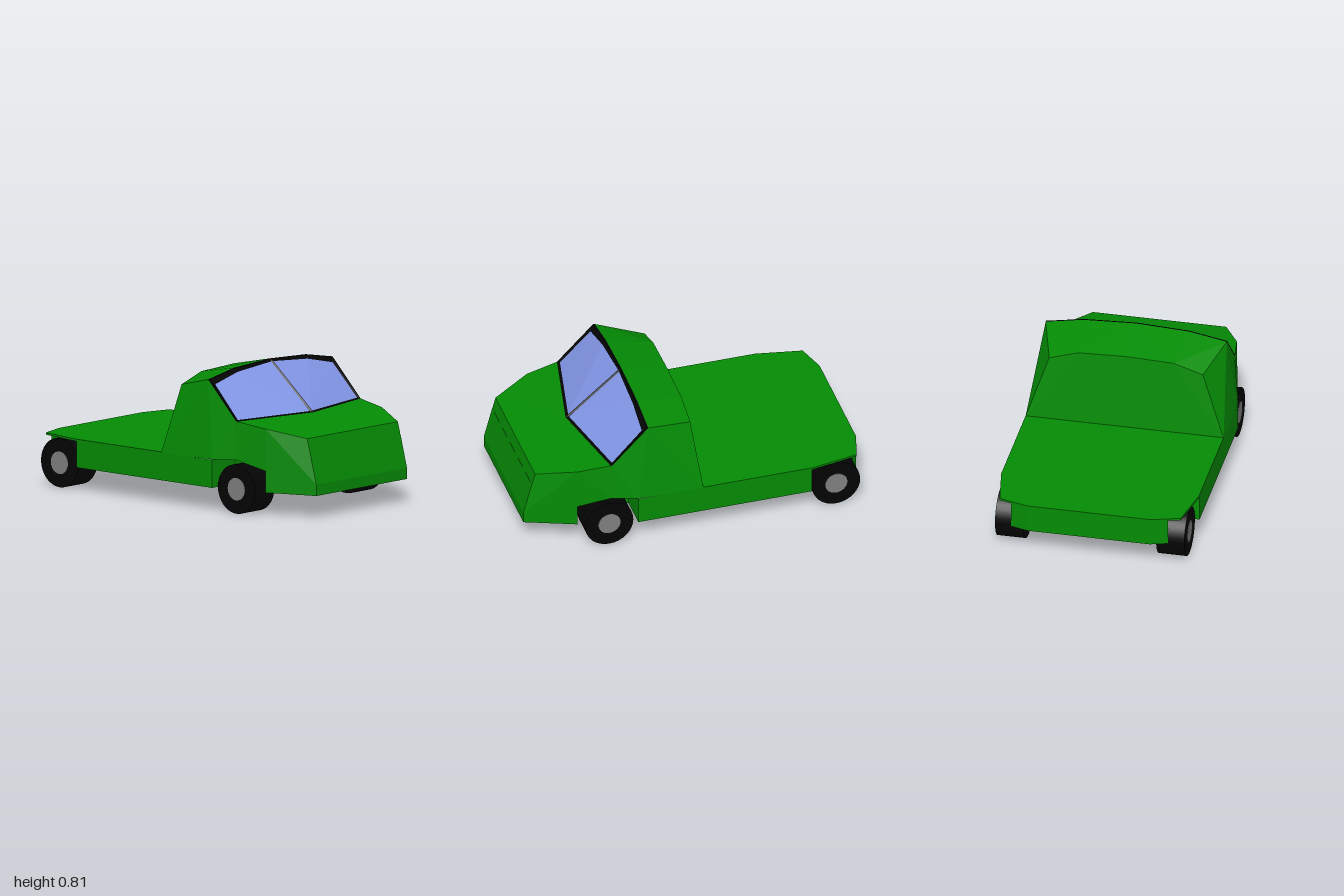
import * as THREE from 'three';
import { ConvexGeometry } from 'three/addons/geometries/ConvexGeometry.js';

export function createModel() {
  const model = new THREE.Group();
  model.name = 'flatbedTruck';

  const material = (name, color) => {
    const m = new THREE.MeshStandardMaterial({ color });
    m.name = name;
    m.side = THREE.DoubleSide;
    return m;
  };
  const green = material('greenPaint', 0x048c04);
  const black = material('blackRubber', 0x040404);
  const grey = material('greyMetal', 0x808080);
  const glass = material('blueGlass', 0x8296e6);

  const add = (name, geometry, mat, parent = model) => {
    const mesh = new THREE.Mesh(geometry, mat);
    mesh.name = name;
    parent.add(mesh);
    return mesh;
  };

  // Slab from half of a plan outline [x, z], mirrored across z = 0
  const slab = (name, half, bottom, top) => {
    const mirrored = half.map(([x, z]) => [x, -z]).reverse();
    const shape = new THREE.Shape([...half, ...mirrored].map(([x, z]) => new THREE.Vector2(x, z)));
    const geometry = new THREE.ExtrudeGeometry(shape, { depth: top - bottom, bevelEnabled: false });
    geometry.rotateX(Math.PI / 2);
    add(name, geometry, green).position.y = top;
  };

  // Flat-shaded sheet from points and triangle corners
  const faceted = (points, index) => {
    const geometry = new THREE.BufferGeometry();
    geometry.setAttribute('position', new THREE.Float32BufferAttribute(points.flat(), 3));
    geometry.setIndex(index);
    const flat = geometry.toNonIndexed();
    flat.computeVertexNormals();
    return flat;
  };

  // Faceted shell from the points of one side, left open where keep(normal) is false
  const hull = (name, points, keep) => {
    const all = [];
    for (const [x, y, z] of points) {
      all.push(new THREE.Vector3(x, y, z));
      if (z) all.push(new THREE.Vector3(x, y, -z));
    }
    const solid = new ConvexGeometry(all);
    const normal = new THREE.Vector3();
    const index = [];
    for (let i = 0; i < solid.attributes.position.count; i += 3) {
      normal.fromBufferAttribute(solid.attributes.normal, i);
      if (keep(normal)) index.push(i, i + 1, i + 2);
    }
    solid.setIndex(index);
    add(name, solid, green);
  };

  // Load bed and rear panel
  slab('loadBed', [[-1, 0.36], [-0.95, 0.53], [-0.68, 0.58], [-0.02, 0.58]], 0.288, 0.3);
  slab('rearPanel', [[-1, 0.36], [-0.97, 0.46]], 0.135, 0.289);

  // Upright sheets [name, x0, z0, x1, z1]: side skirts and wheel well walls
  const walls = [
    ['sideSkirt', -0.67, 0.58, 0.37, 0.58],
    ['rearWellEnd', -0.67, 0.385, -0.67, 0.58],
    ['rearWellWall', -0.98, 0.385, -0.67, 0.385],
    ['frontWellEnd', 0.37, 0.385, 0.37, 0.58],
    ['frontWellWall', 0.37, 0.385, 0.71, 0.385],
  ];
  const archPoints = [
    [0.37, 0.3, 0.385], [0.52, 0.31, 0.385], [0.71, 0.26, 0.385],
    [0.37, 0.3, 0.58], [0.52, 0.31, 0.545], [0.71, 0.26, 0.5],
  ];
  const archGeometry = faceted(archPoints, [0, 3, 1, 1, 3, 4, 1, 4, 2, 2, 4, 5]);
  for (const side of [1, -1]) {
    for (const [name, x0, z0, x1, z1] of walls) {
      const bottom = [[x0, 0.135, z0 * side], [x1, 0.135, z1 * side]];
      const top = [[x0, 0.298, z0 * side], [x1, 0.298, z1 * side]];
      const index = side > 0 ? [0, 1, 2, 2, 1, 3] : [0, 2, 1, 2, 3, 1];
      add(name, faceted([...bottom, ...top], index), green);
    }
    add('frontArch', archGeometry, green).scale.z = side;
  }

  // Cab without floor or windshield faces, hood over the front arches, and nose
  hull('cab', [
    [-0.02, 0.295, 0.58], [0.37, 0.3, 0.58], [0.52, 0.31, 0.545], [0.51, 0.53, 0.53],
    [0.62, 0.53, 0], [0.295, 0.75, 0.53], [0.295, 0.79, 0.31], [0.295, 0.805, 0],
    [0.02, 0.68, 0.45], [0.02, 0.735, 0.28], [0.02, 0.745, 0],
  ], (n) => n.y > -0.2 && n.x < 0.4);
  hull('hood', [
    [0.52, 0.31, 0.545], [0.51, 0.53, 0.53], [0.52, 0.53, 0.53], [0.63, 0.53, 0],
    [0.71, 0.26, 0.5], [0.71, 0.505, 0.5], [0.93, 0.46, 0.39], [1, 0.2, 0.39],
  ], (n) => n.y > -0.2 && n.x > -0.8);
  hull('nose', [
    [0.71, 0.135, 0.5], [0.71, 0.3, 0.5], [0.95, 0.39, 0.39],
    [1, 0.2, 0.39], [1, 0.135, 0.39],
  ], () => true);

  // Windshield surface: x follows from height and distance to the centre line
  const topAt = (z) => (z < 0.31 ? 0.805 - 0.015 * z / 0.31 : 0.79 - 0.04 * (z - 0.31) / 0.22);
  const loop = (outline, shift) => outline.map(([y, z]) => {
    const t = (y - 0.53) / (topAt(z) - 0.53);
    return [THREE.MathUtils.lerp(0.63 - 0.11 * z / 0.53, 0.305, t) + shift, y, z];
  });
  const outer = [[0.53, 0], [0.805, 0], [0.79, 0.31], [0.75, 0.53], [0.53, 0.53]];
  const inner = [[0.536, 0.009], [0.79, 0.009], [0.768, 0.3], [0.722, 0.505], [0.536, 0.513]];

  // Frame: edge and face strips through three loops; pane: a fan set back inside it
  const n = outer.length;
  const strip = [];
  for (let ring = 0; ring < 2; ring++) {
    for (let i = 0; i < n; i++) {
      const a = ring * n + i;
      const b = ring * n + (i + 1) % n;
      strip.push(a, a + n, b, b, a + n, b + n);
    }
  }
  const frameLoops = [...loop(outer, -0.01), ...loop(outer, 0), ...loop(inner, -0.01)];
  const frameGeometry = faceted(frameLoops, strip);
  const paneGeometry = faceted(loop(inner, -0.01), [0, 2, 1, 0, 3, 2, 0, 4, 3]);
  for (const side of [1, -1]) {
    add('windshieldFrame', frameGeometry, black).scale.z = side;
    add('windshieldPane', paneGeometry, glass).scale.z = side;
  }

  // Wheels with flush outer hubs, joined by axles; the front pair has broad inner discs
  const rod = (radius, length, sides) =>
    new THREE.CylinderGeometry(radius, radius, length, sides).rotateX(Math.PI / 2);
  const tyreGeometry = rod(0.143, 0.165, 32);
  const hubGeometry = rod(0.066, 0.02, 24);
  const discGeometry = rod(0.12, 0.006, 24);
  const axleGeometry = rod(0.02, 0.8, 8);
  for (const [name, x] of [['front', 0.535], ['rear', -0.822]]) {
    const axleSet = new THREE.Group();
    axleSet.name = name + 'AxleSet';
    axleSet.position.set(x, 0.143, 0);
    model.add(axleSet);
    add(name + 'Axle', axleGeometry, grey, axleSet).position.y = 0.01;
    for (const side of [1, -1]) {
      add(name + 'Tyre', tyreGeometry, black, axleSet).position.z = side * 0.472;
      add(name + 'Hub', hubGeometry, grey, axleSet).position.z = side * 0.547;
      if (name === 'front') add('innerDisc', discGeometry, grey, axleSet).position.z = side * 0.389;
    }
  }
  return model;
}
